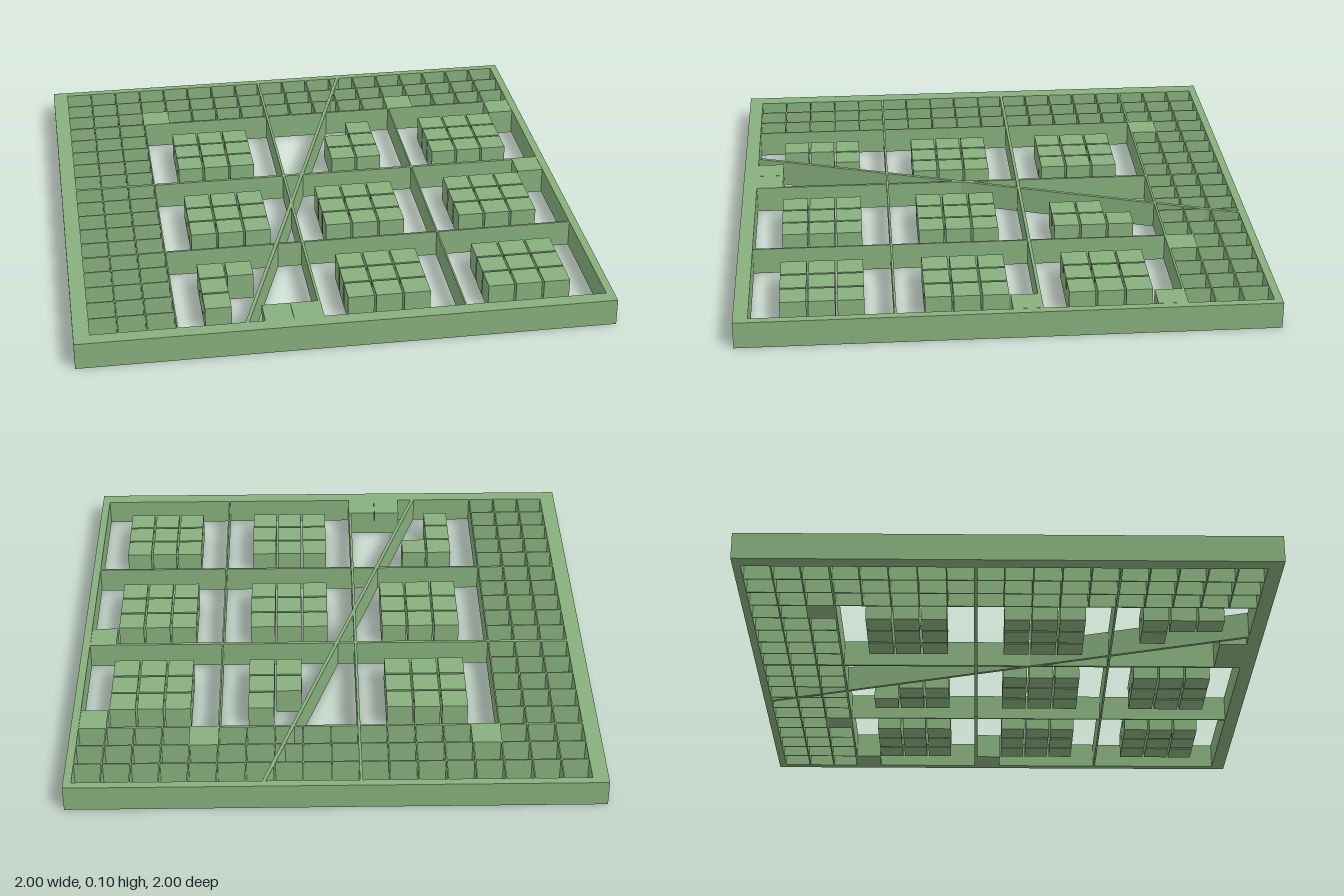
import * as THREE from 'three';

const H = 0.104;            // plate height
const P = 0.1064;           // grid pitch
const OX = -0.092, OZ = -0.118; // where the two axis walls cross
const L = -0.94, R = 0.97, B = -0.97, F = 0.945; // inner edges of the frame

export function createModel() {
  const model = new THREE.Group();
  model.name = 'gridPlate';
  const mat = new THREE.MeshStandardMaterial({ color: 0x88b07e, flatShading: true });

  const gx = i => OX + i * P;
  const gz = i => OZ + i * P;

  const group = name => {
    const g = new THREE.Group();
    g.name = name;
    model.add(g);
    return g;
  };

  // full-height box between two plan corners
  const slab = (parent, name, x0, x1, z0, z1) => {
    const m = new THREE.Mesh(new THREE.BoxGeometry(x1 - x0, H, z1 - z0), mat);
    m.position.set((x0 + x1) / 2, H / 2, (z0 + z1) / 2);
    m.name = name;
    parent.add(m);
  };
  const wallX = (g, z, x0, x1, t) => slab(g, 'crossWall', x0, x1, z - t / 2, z + t / 2);
  const wallZ = (g, x, z0, z1, t) => slab(g, 'lengthWall', x - t / 2, x + t / 2, z0, z1);

  // outer frame: a rectangle with an off-centre opening
  const outline = new THREE.Shape([[-1, -1], [1, -1], [1, 1], [-1, 1]].map(p => new THREE.Vector2(...p)));
  outline.holes.push(new THREE.Path([[L, -F], [L, -B], [R, -B], [R, -F]].map(p => new THREE.Vector2(...p))));
  const frameGeo = new THREE.ExtrudeGeometry(outline, { depth: H, bevelEnabled: false });
  frameGeo.rotateX(-Math.PI / 2);
  const frame = new THREE.Mesh(frameGeo, mat);
  frame.name = 'frame';
  model.add(frame);

  // fine lattice along the back and left-hand edges
  const lattice = group('lattice');
  const T = 0.005;
  for (let i = -7; i <= 9; i++) if (i !== 0) wallZ(lattice, gx(i), B, gz(-5), T);
  for (const j of [-7, -6]) wallX(lattice, gz(j), L, R, T);
  for (let j = -4; j <= 9; j++) if (j !== 0 && j !== 5) wallX(lattice, gz(j), L, gx(-5), T);
  for (const i of [-7, -6, -5]) wallZ(lattice, gx(i), gz(-5), F, T);

  // main dividers and axes
  const dividers = group('dividers');
  wallX(dividers, gz(-5), L, R, 0.008);
  wallX(dividers, gz(5), L, R, 0.008);
  wallZ(dividers, gx(5), gz(-5), F, 0.006);
  const axes = group('axes');
  wallX(axes, OZ, L, R, 0.012);
  wallZ(axes, OX, B, F, 0.01);

  // slanted wall, sheared so its ends lie flat against the frame
  const slantGeo = new THREE.BoxGeometry(0.014, H, F - B);
  const pos = slantGeo.attributes.position;
  const slope = (-0.37 - 0.265) / (F - B);
  for (let i = 0; i < pos.count; i++) pos.setX(i, pos.getX(i) + slope * pos.getZ(i));
  slantGeo.computeVertexNormals();
  const slant = new THREE.Mesh(slantGeo, mat);
  slant.position.set((0.265 - 0.37) / 2, H / 2, (B + F) / 2);
  slant.name = 'slantedWall';
  model.add(slant);

  // clusters of three by three blocks, two of them incomplete
  const full = ['###', '###', '###'];
  const clusters = [
    [full, ['..#', '.##', '.##'], full],
    [full, full, full],
    [['##.', '#..', '#..'], full, full],
  ];
  const GAP = 0.004;
  clusters.forEach((row, r) => row.forEach((pattern, c) => {
    const g = group('blockCluster');
    pattern.forEach((line, j) => [...line].forEach((ch, i) => {
      if (ch !== '#') return;
      const x = gx(-4 + c * 5 + i), z = gz(-4 + r * 5 + j);
      slab(g, 'block', x + GAP, x + P - GAP, z + GAP, z + P - GAP);
    }));
  }));

  // single blocks filling cells beside the walls
  const singles = group('singleBlocks');
  for (const [i, j] of [[-5, -6], [5, -6], [9, -5], [9, 0], [-2, 9], [-1, 9]]) {
    slab(singles, 'block', gx(i), Math.min(gx(i + 1), R) - 0.001, gz(j), Math.min(gz(j + 1), F));
  }
  return model;
}
